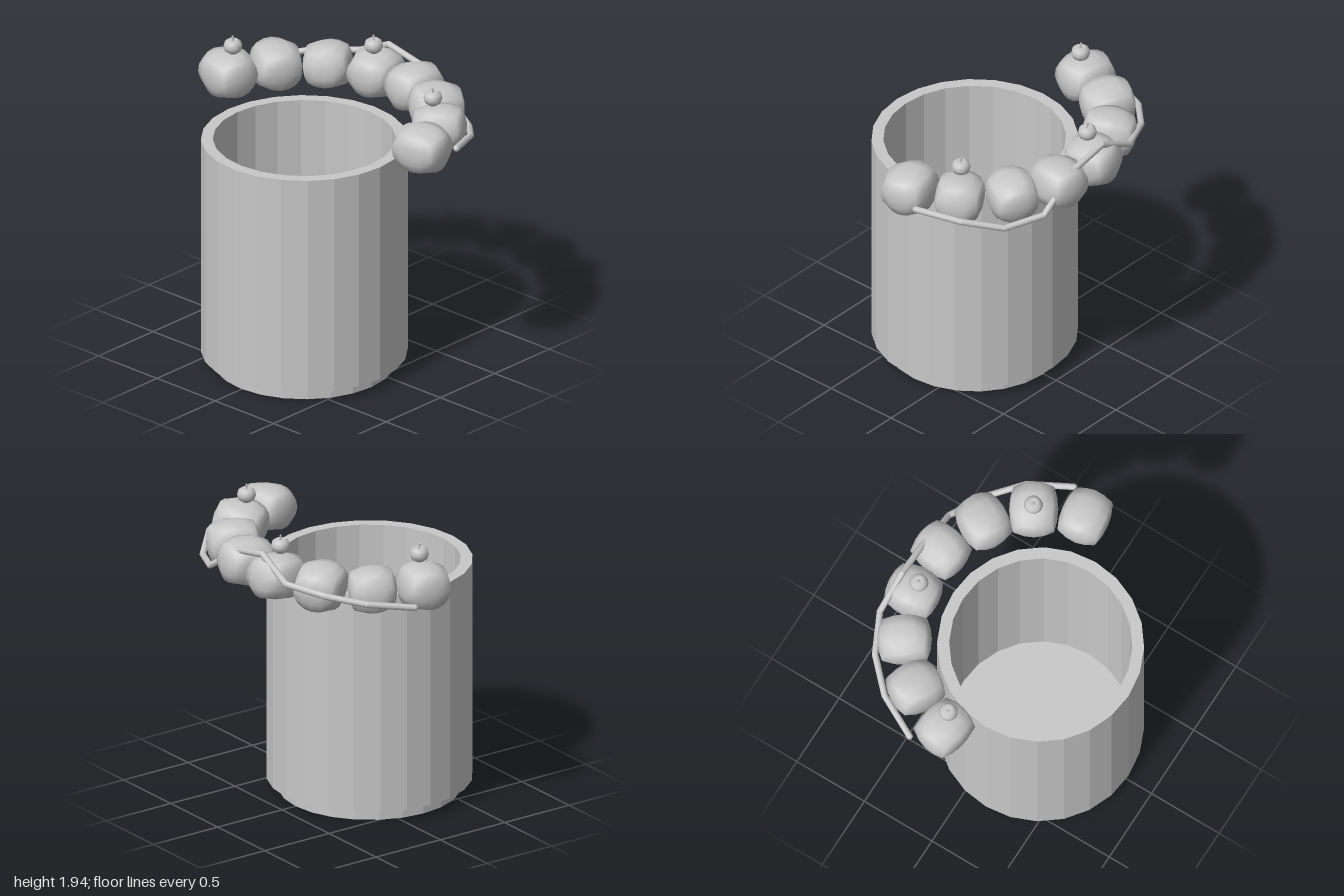
import * as THREE from 'three';
import { mergeVertices } from 'three/addons/utils/BufferGeometryUtils.js';

const CUP_Z = 0.18;

export function createModel() {
  const model = new THREE.Group();
  const grey = new THREE.MeshStandardMaterial({ color: 0xc8c8c8 });
  grey.name = 'plain grey';
  const greyFaceted = grey.clone();
  greyFaceted.flatShading = true;

  function add(name, geometry, material, parent = model) {
    const mesh = new THREE.Mesh(geometry, material);
    mesh.name = name;
    parent.add(mesh);
    return mesh;
  }

  // Hollow faceted cup with a recessed foot
  const profile = [
    [0, 0], [0.575, 0], [0.575, 0.08], [0.65, 0.08],
    [0.65, 1.54], [0.575, 1.54], [0.575, 0.02], [0, 0.02],
  ].map(([r, y]) => new THREE.Vector2(r, y));
  add('cup', new THREE.LatheGeometry(profile, 24), greyFaceted).position.z = CUP_Z;

  // Bulging block: a box whose edges and corners are drawn inwards
  function blockGeometry(w, h, d) {
    let g = new THREE.BoxGeometry(2, 2, 2, 4, 4, 4);
    g.deleteAttribute('uv');
    g.deleteAttribute('normal');
    g = mergeVertices(g);
    const p = g.attributes.position;
    for (let i = 0; i < p.count; i++) {
      const x = p.getX(i), y = p.getY(i), z = p.getZ(i);
      const pull = (a, b) => 1 - 0.16 * (a * a + b * b);
      p.setXYZ(i, x * pull(y, z) * w / 2, y * pull(x, z) * h / 2, z * pull(x, y) * d / 2);
    }
    g.computeVertexNormals();
    return g;
  }

  // Eight blocks in an arc round the back of the rim, each slightly tilted
  const block = blockGeometry(0.31, 0.28, 0.345);
  const blocks = new THREE.Group();
  blocks.name = 'blockArc';
  model.add(blocks);
  for (let i = 0; i < 8; i++) {
    const angle = THREE.MathUtils.degToRad(-77 + 22 * i);
    const mesh = add('block' + (i + 1), block, grey, blocks);
    mesh.position.set(0.855 * Math.sin(angle), 1.67, CUP_Z - 0.855 * Math.cos(angle));
    mesh.rotation.set(0.1 * Math.sin(i * 2.3), -angle + 0.08 * Math.sin(i * 1.7), 0.08 * Math.cos(i * 3.1), 'YXZ');
  }

  // Small squashed fruits with stems
  const fruitProfile = [
    [0, -0.04], [0.025, -0.048], [0.05, -0.03], [0.06, 0],
    [0.052, 0.03], [0.028, 0.047], [0, 0.036],
  ].map(([r, y]) => new THREE.Vector2(r, y));
  const fruitGeometry = new THREE.LatheGeometry(fruitProfile, 16);
  const stemGeometry = new THREE.CylinderGeometry(0.007, 0.005, 0.036, 6);
  for (const [x, y, z] of [[-0.79, 1.866, -0.01], [-0.155, 1.863, -0.625], [0.665, 1.868, -0.29]]) {
    const fruit = new THREE.Group();
    fruit.name = 'fruit';
    fruit.position.set(x, y, z);
    add('fruitBody', fruitGeometry, grey, fruit);
    const stem = add('fruitStem', stemGeometry, grey, fruit);
    stem.position.y = 0.052;
    stem.rotation.z = 0.12;
    model.add(fruit);
  }

  // Kinked rods running along the outside of the arc
  function rod(name, coords) {
    const group = new THREE.Group();
    group.name = name;
    const points = coords.map((c) => new THREE.Vector3(...c));
    points.forEach((a, i) => {
      add('rodJoint', new THREE.SphereGeometry(0.021, 10, 8), grey, group).position.copy(a);
      if (i === points.length - 1) return;
      const dir = points[i + 1].clone().sub(a);
      const piece = add('rodPiece', new THREE.CylinderGeometry(0.021, 0.021, dir.length(), 10), grey, group);
      piece.position.copy(a).addScaledVector(dir, 0.5);
      piece.quaternion.setFromUnitVectors(new THREE.Vector3(0, 1, 0), dir.normalize());
    });
    model.add(group);
  }
  rod('rightRod', [
    [-0.975, 1.6, -0.18], [-0.84, 1.64, -0.45], [-0.65, 1.68, -0.64],
    [-0.4, 1.71, -0.76], [-0.145, 1.83, -0.755], [0.125, 1.775, -0.755],
  ]);
  rod('leftRod', [
    [0.3, 1.65, -0.755], [0.41, 1.58, -0.76], [0.65, 1.55, -0.64],
    [0.84, 1.61, -0.45], [0.97, 1.65, -0.18],
  ]);

  return model;
}
